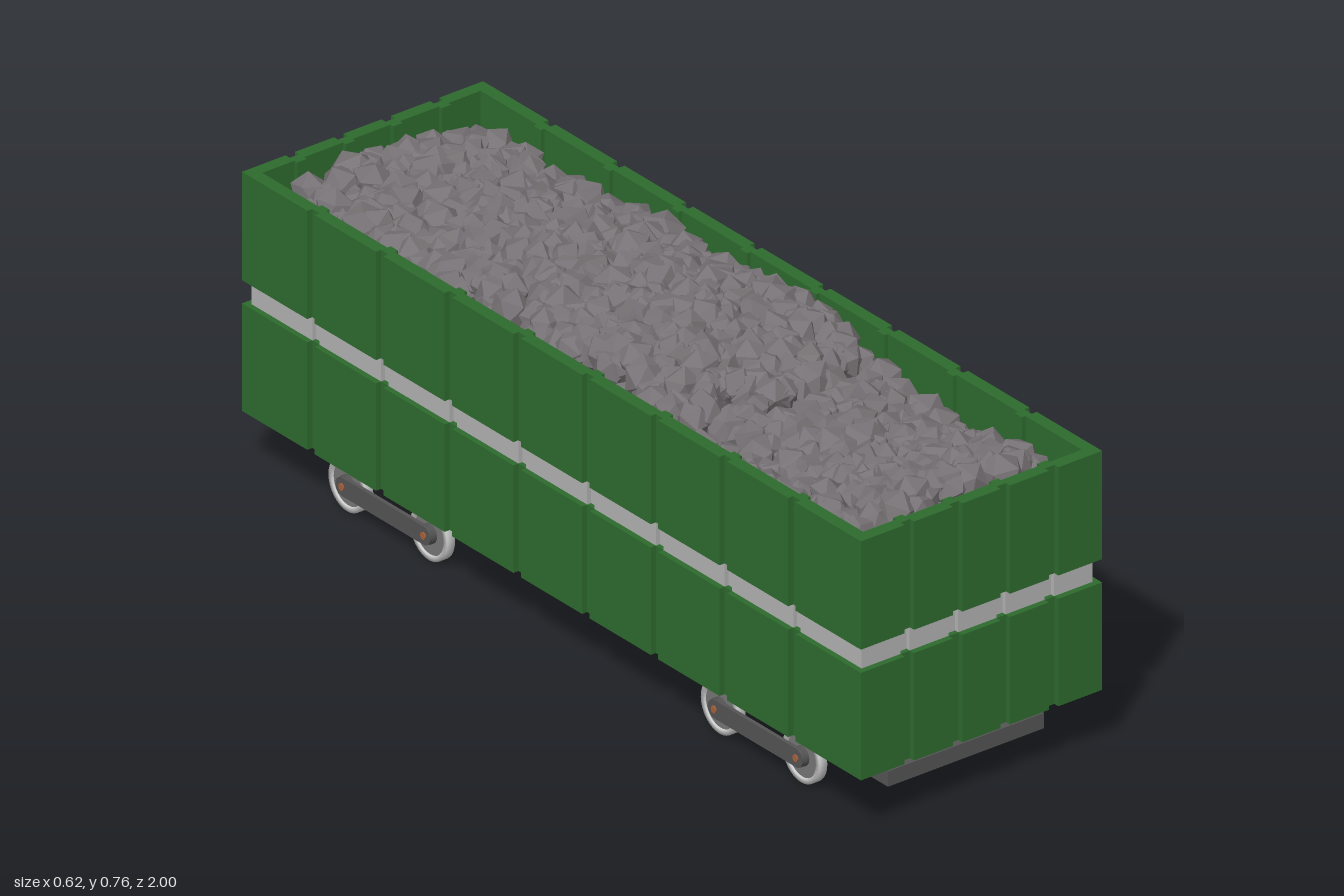
import * as THREE from 'three';
import { mergeGeometries } from 'three/addons/utils/BufferGeometryUtils.js';

const paint = (color, extra = {}) => new THREE.MeshStandardMaterial({ color, ...extra });
const green = paint(0x2e6b2e);
const bandGrey = paint(0xb4b4b4);
const darkGrey = paint(0x555555);
const rimGrey = paint(0xcccccc);
const discGrey = paint(0x777777);
const copper = paint(0xa8623a);
const coalGrey = paint(0x777275, { flatShading: true });

const END_GROOVES = [-0.185, -0.061, 0.061, 0.185];
const SIDE_GROOVES = [-0.777, -0.555, -0.333, -0.111, 0.111, 0.333, 0.555, 0.777];
const GROOVE = 0.012; // half width of a groove

function add(parent, name, geometry, material, x = 0, y = 0, z = 0) {
  const mesh = new THREE.Mesh(geometry, material);
  mesh.name = name;
  mesh.position.set(x, y, z);
  parent.add(mesh);
  return mesh;
}

// Rectangle with vertical panel grooves cut into all four sides
function groovedOutline(halfW, halfL, depth) {
  const points = [];
  for (let side = 0; side < 4; side++) {
    const isEnd = side % 2 === 0;
    const [along, out] = isEnd ? [halfW, halfL] : [halfL, halfW];
    const turn = (u, v) => points.push(
      new THREE.Vector2(u, v).rotateAround(new THREE.Vector2(), side * Math.PI / 2));
    turn(-along, -out);
    for (const g of isEnd ? END_GROOVES : SIDE_GROOVES) {
      turn(g - GROOVE, -out);
      turn(g - GROOVE, depth - out);
      turn(g + GROOVE, depth - out);
      turn(g + GROOVE, -out);
    }
  }
  return points;
}

// Hollow wall ring from y0 to y1
function wallRing(halfW, halfL, thickness, depth, y0, y1) {
  const shape = new THREE.Shape(groovedOutline(halfW, halfL, depth));
  shape.holes.push(new THREE.Path(groovedOutline(halfW - thickness, halfL - thickness, depth * 0.7)));
  const geometry = new THREE.ExtrudeGeometry(shape, { depth: y1 - y0, bevelEnabled: false });
  return geometry.rotateX(-Math.PI / 2).translate(0, y0, 0);
}

// Height of the coal crest along the wagon
const CREST = [[-1, 0.68], [-0.6, 0.69], [-0.3, 0.71], [0, 0.72], [0.12, 0.745], [0.3, 0.71],
  [0.42, 0.67], [0.55, 0.65], [0.7, 0.66], [0.85, 0.70], [1, 0.685]];
function heapHeight(x, z) {
  let i = 1;
  while (i < CREST.length - 1 && z > CREST[i][0]) i++;
  const [z0, h0] = CREST[i - 1], [z1, h1] = CREST[i];
  return THREE.MathUtils.lerp(h0, h1, (z - z0) / (z1 - z0)) - 0.045 * (x / 0.27) ** 2;
}

function createCoal() {
  const coal = new THREE.Group();
  coal.name = 'coalLoad';
  let seed = 7;
  const random = () => (seed = (seed * 16807) % 2147483647) / 2147483647;

  // Ground surface under the lumps
  const bed = new THREE.PlaneGeometry(0.56, 1.94, 8, 28).rotateX(-Math.PI / 2);
  const p = bed.attributes.position;
  for (let i = 0; i < p.count; i++) p.setY(i, heapHeight(p.getX(i), p.getZ(i)) - 0.06);
  bed.computeVertexNormals();
  add(coal, 'coalBed', bed, coalGrey);

  // Tumbled lumps on a jittered grid
  const lumps = [];
  const columns = 9, rows = 36;
  for (let layer = 0; layer < 2; layer++) {
    for (let r = 0; r < rows; r++) {
      for (let c = 0; c < columns; c++) {
        const x = ((c + random()) / columns - 0.5) * 0.47;
        const z = ((r + random()) / rows - 0.5) * 1.84;
        const radius = 0.036 + 0.016 * random();
        const lump = new THREE.IcosahedronGeometry(radius, 0);
        lump.scale(0.8 + 0.4 * random(), 0.75 + 0.35 * random(), 0.8 + 0.4 * random());
        lump.rotateX(random() * 6.28).rotateY(random() * 6.28).rotateZ(random() * 6.28);
        lump.translate(x, heapHeight(x, z) - 0.045 + 0.015 * random(), z);
        lumps.push(lump);
      }
    }
  }
  add(coal, 'coalLumps', mergeGeometries(lumps), coalGrey);
  return coal;
}

// One pair of wheels joined by a side bar; outside faces +x
function createBogie() {
  const bogie = new THREE.Group();
  const half = 0.132;
  const rimProfile = [[0.048, -0.01], [0.06, -0.01], [0.06, 0.01], [0.048, 0.01], [0.048, -0.01]]
    .map(([r, y]) => new THREE.Vector2(r, y));
  for (const z of [-half, half]) {
    const rim = new THREE.LatheGeometry(rimProfile, 32).rotateZ(-Math.PI / 2);
    add(bogie, 'wheelRim', rim.toNonIndexed(), rimGrey, 0.24, 0.06, z);
    const disc = new THREE.CylinderGeometry(0.049, 0.049, 0.012, 32).rotateZ(-Math.PI / 2);
    add(bogie, 'wheelDisc', disc, discGrey, 0.24, 0.06, z);
    const boss = new THREE.CylinderGeometry(0.022, 0.022, 0.012, 20).rotateZ(-Math.PI / 2);
    add(bogie, 'wheelBoss', boss, darkGrey, 0.25, 0.06, z);
    const bolt = new THREE.CylinderGeometry(0.008, 0.008, 0.005, 12).rotateZ(-Math.PI / 2);
    add(bogie, 'axleBolt', bolt, copper, 0.2635, 0.06, z);
  }
  // Round-ended bar
  const bar = new THREE.Shape();
  bar.absarc(half, 0, 0.021, -Math.PI / 2, Math.PI / 2);
  bar.absarc(-half, 0, 0.021, Math.PI / 2, Math.PI * 1.5);
  const barGeometry = new THREE.ExtrudeGeometry(bar, { depth: 0.009, bevelEnabled: false }).rotateY(Math.PI / 2);
  add(bogie, 'sideBar', barGeometry, darkGrey, 0.254, 0.06, 0);
  return bogie;
}

export function createModel() {
  const wagon = new THREE.Group();
  wagon.name = 'coalWagon';

  // Body
  add(wagon, 'lowerWall', wallRing(0.309, 1, 0.029, 0.013, 0.137, 0.382), green);
  add(wagon, 'middleBand', wallRing(0.296, 0.986, 0.018, 0.01, 0.382, 0.435), bandGrey);
  add(wagon, 'upperWall', wallRing(0.309, 1, 0.029, 0.013, 0.435, 0.682), green);
  add(wagon, 'floor', new THREE.BoxGeometry(0.57, 0.02, 1.95), green, 0, 0.148, 0);
  wagon.add(createCoal());

  // Underframe
  add(wagon, 'upperFrame', new THREE.BoxGeometry(0.338, 0.04, 1.61), darkGrey, 0, 0.119, 0);
  add(wagon, 'lowerFrame', new THREE.BoxGeometry(0.4, 0.035, 1.9), darkGrey, 0, 0.0825, 0);

  // Running gear
  for (const z of [0.6, -0.603]) {
    for (const side of [1, -1]) {
      const bogie = createBogie();
      bogie.name = side > 0 ? 'leftBogie' : 'rightBogie';
      bogie.position.z = z;
      bogie.rotation.y = side > 0 ? 0 : Math.PI;
      wagon.add(bogie);
    }
  }
  return wagon;
}
